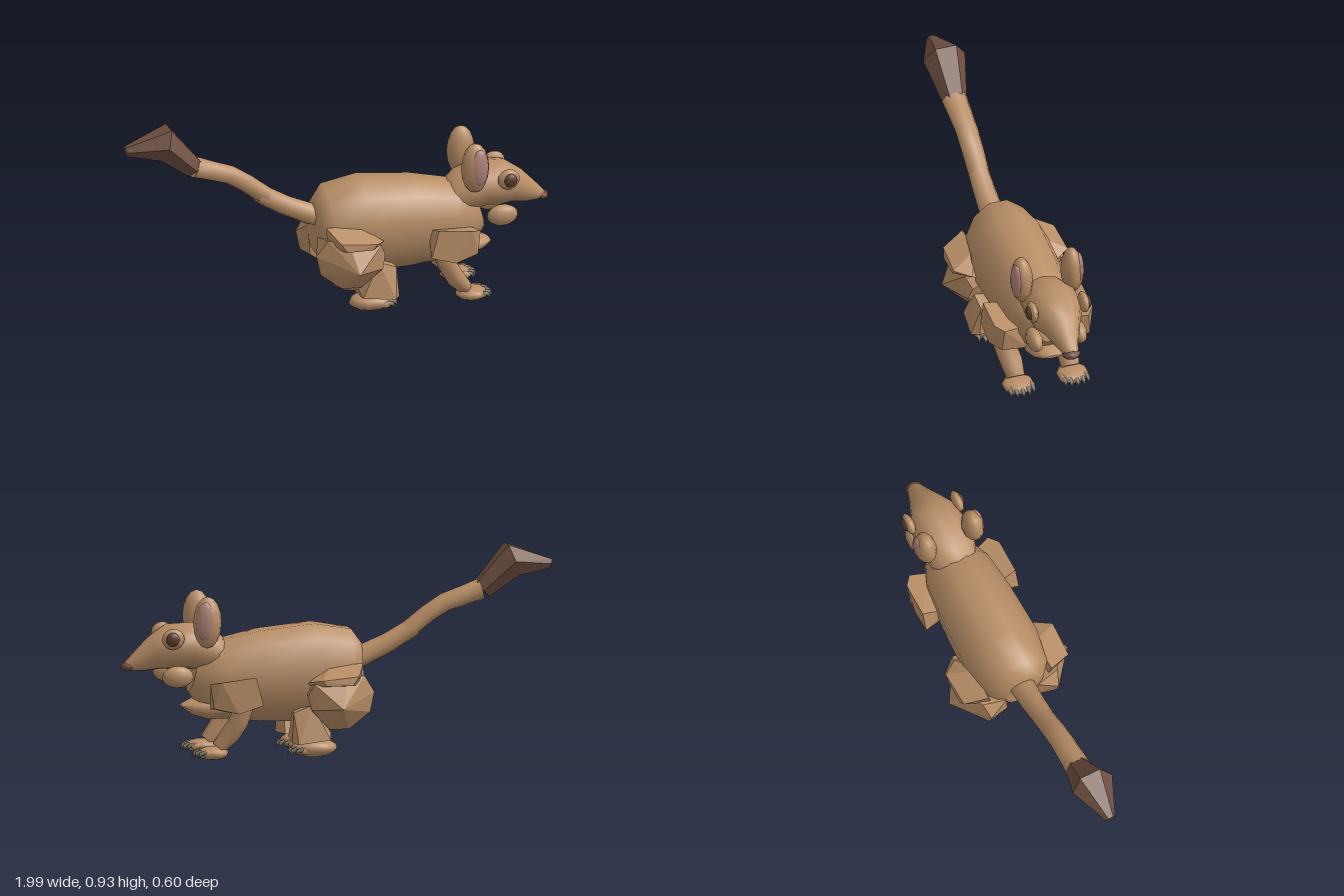
import * as THREE from 'three';
import { ConvexGeometry } from 'three/addons/geometries/ConvexGeometry.js';

// Skin of elliptical rings along a path in the xy plane; ring = [x, y, z, radius in plane, radius along z]
function loft(rings, sides, phase = 0) {
  const pos = [], index = [], n = rings.length;
  const ringPoints = rings.map(([x, y, z, r, rz], i) => {
    const a = rings[Math.max(i - 1, 0)], b = rings[Math.min(i + 1, n - 1)];
    const t = Math.atan2(b[1] - a[1], b[0] - a[0]);
    return Array.from({ length: sides }, (_, j) => {
      const q = ((j + phase) / sides) * Math.PI * 2, u = Math.cos(q) * r;
      return [x - Math.sin(t) * u, y + Math.cos(t) * u, z + Math.sin(q) * rz];
    });
  });
  ringPoints.forEach((ring) => ring.forEach((p) => pos.push(...p)));
  for (let i = 0; i < n - 1; i++) {
    for (let j = 0; j < sides; j++) {
      const k = (j + 1) % sides;
      const a = i * sides + j, b = i * sides + k;
      index.push(a, b, a + sides, b, b + sides, a + sides);
    }
  }
  // End caps with their own corners, so the rims stay sharp
  for (const i of [0, n - 1]) {
    const base = pos.length / 3;
    pos.push(...rings[i].slice(0, 3));
    ringPoints[i].forEach((p) => pos.push(...p));
    for (let j = 0; j < sides; j++) {
      const a = base + 1 + j, b = base + 1 + ((j + 1) % sides);
      if (i === 0) index.push(base, b, a);
      else index.push(base, a, b);
    }
  }
  const g = new THREE.BufferGeometry();
  g.setAttribute('position', new THREE.Float32BufferAttribute(pos, 3));
  g.setIndex(index);
  g.computeVertexNormals();
  return g;
}

const hull = (points, s) => new ConvexGeometry(points.map(([x, y, z]) => new THREE.Vector3(x, y, z * s)));

export function createModel() {
  const model = new THREE.Group();
  model.name = 'longTailedRodent';
  const material = (name, color, flatShading = false) => {
    const m = new THREE.MeshStandardMaterial({ color });
    m.name = name;
    m.flatShading = flatShading;
    return m;
  };
  const fur = material('fur', 0xb88e66);
  const tuftBrown = material('tuftBrown', 0x6e4f40, true);
  const pink = material('earPink', 0xb08378);
  const eyeBrown = material('eyeBrown', 0x5e3c2c);
  const noseBrown = material('noseBrown', 0x6a463c);
  const clawGrey = material('clawGrey', 0x817c70);

  const add = (name, geometry, mat = fur) => {
    const mesh = new THREE.Mesh(geometry, mat);
    mesh.name = name;
    model.add(mesh);
    return mesh;
  };
  const ball = (name, [x, y, z], [rx, ry, rz], mat = fur, w = 12, h = 8) => {
    const mesh = add(name, new THREE.SphereGeometry(1, w, h), mat);
    mesh.position.set(x, y, z);
    mesh.scale.set(rx, ry, rz);
    return mesh;
  };

  // Barrel-shaped body
  add('body', loft([
    [-0.11, 0.36, 0, 0.09, 0.08], [-0.09, 0.36, 0, 0.15, 0.12], [-0.04, 0.37, 0, 0.21, 0.165],
    [0.11, 0.38, 0, 0.23, 0.19], [0.35, 0.37, 0, 0.215, 0.18], [0.54, 0.36, 0, 0.185, 0.16],
    [0.63, 0.37, 0, 0.13, 0.12], [0.67, 0.38, 0, 0.08, 0.08],
  ], 12, 0.5));
  add('chest', loft([
    [0.5, 0.235, 0, 0.06, 0.1], [0.6, 0.23, 0, 0.055, 0.1], [0.67, 0.235, 0, 0.038, 0.08], [0.72, 0.24, 0, 0.006, 0.04],
  ], 8, 0.5));

  // Head tapering to the snout
  add('head', loft([
    [0.54, 0.46, 0, 0.075, 0.1], [0.6, 0.49, 0, 0.1, 0.12], [0.68, 0.515, 0, 0.105, 0.128],
    [0.77, 0.51, 0, 0.107, 0.122], [0.84, 0.485, 0, 0.08, 0.085], [0.91, 0.45, 0, 0.052, 0.055],
    [0.97, 0.427, 0, 0.022, 0.032],
  ], 12));
  ball('nose', [0.968, 0.425, 0], [0.032, 0.022, 0.043], noseBrown, 8, 6);

  // Tail in two overlapping lengths, then the faceted tuft
  add('tailBase', loft([
    [-0.06, 0.43, 0, 0.05, 0.062], [-0.12, 0.445, 0, 0.05, 0.058], [-0.24, 0.5, 0, 0.046, 0.053], [-0.36, 0.57, 0, 0.044, 0.048],
  ], 8));
  add('tailMiddle', loft([
    [-0.33, 0.555, 0, 0.042, 0.05], [-0.42, 0.625, 0, 0.042, 0.052], [-0.5, 0.675, 0, 0.044, 0.053],
    [-0.59, 0.705, 0, 0.046, 0.056], [-0.665, 0.73, 0, 0.05, 0.06],
  ], 8));
  add('tailTuft', loft([
    [-0.67, 0.73, 0, 0.05, 0.06], [-0.81, 0.865, 0, 0.086, 0.1], [-0.99, 0.84, 0, 0.024, 0.024],
  ], 6, 0.5), tuftBrown);

  for (const s of [1, -1]) {
    const side = s > 0 ? 'right' : 'left'; // facing +x, +z is the animal's right flank
    const name = (part) => side + part;

    // Ears with a pink patch facing outward
    ball(name('Ear'), [0.622, 0.632, 0.12 * s], [0.066, 0.118, 0.05], fur, 10, 8);
    const patch = ball(name('InnerEar'), [0.637, 0.64, 0.15 * s], [0.043, 0.088, 0.021], pink, 10, 8);
    patch.rotation.y = 0.15 * s;

    // Eyes in raised lids, and cheeks
    ball(name('EyeLid'), [0.78, 0.56, 0.122 * s], [0.052, 0.048, 0.024]);
    ball(name('Eye'), [0.784, 0.56, 0.136 * s], [0.033, 0.033, 0.02], eyeBrown);
    ball(name('Cheek'), [0.755, 0.385, 0.105 * s], [0.073, 0.05, 0.036], fur, 10, 8);

    // Angular shoulder and bent foreleg
    add(name('Shoulder'), hull([
      [0.42, 0.39, 0.235], [0.625, 0.36, 0.2], [0.58, 0.37, 0.235], [0.385, 0.26, 0.235], [0.5, 0.225, 0.235],
      [0.61, 0.25, 0.21], [0.4, 0.36, 0.12], [0.6, 0.35, 0.12], [0.42, 0.24, 0.09], [0.6, 0.23, 0.08],
    ], s));
    add(name('Foreleg'), loft([
      [0.46, 0.25, 0.15 * s, 0.045, 0.055], [0.485, 0.18, 0.15 * s, 0.045, 0.055],
      [0.52, 0.12, 0.135 * s, 0.045, 0.055], [0.575, 0.06, 0.13 * s, 0.032, 0.045],
    ], 7));

    // Folded thigh: upper ledge and pointed lower lump
    add(name('ThighLedge'), hull([
      [-0.05, 0.385, 0.265], [0.12, 0.37, 0.272], [0.17, 0.355, 0.2], [-0.02, 0.345, 0.272], [0.1, 0.345, 0.272],
      [-0.09, 0.43, 0.16], [0.06, 0.425, 0.15], [0.16, 0.32, 0.13], [-0.08, 0.33, 0.14],
    ], s));
    add(name('Thigh'), hull([
      [0.03, 0.24, 0.3], [-0.09, 0.38, 0.19], [-0.14, 0.3, 0.17], [-0.12, 0.21, 0.17], [-0.02, 0.135, 0.18],
      [0.07, 0.135, 0.18], [0.16, 0.23, 0.22], [0.175, 0.29, 0.2], [0.15, 0.35, 0.23], [0, 0.36, 0.235],
      [-0.11, 0.36, 0.08], [-0.1, 0.22, 0.07], [0, 0.15, 0.05], [0.12, 0.18, 0.06], [0.16, 0.32, 0.1],
    ], s));
    add(name('Shin'), hull([
      [0.15, 0.25, 0.19], [0.235, 0.215, 0.18], [0.15, 0.22, 0.09], [0.225, 0.22, 0.1], [0.245, 0.08, 0.19],
      [0.22, 0.075, 0.225], [0.07, 0.09, 0.21], [0.06, 0.12, 0.16], [0.07, 0.075, 0.06], [0.23, 0.09, 0.035],
    ], s));

    // Feet, each with a fan of five claws
    for (const [foot, cx, len, h] of [['FrontFoot', 0.6, 0.074, 0.031], ['HindFoot', 0.13, 0.107, 0.042]]) {
      ball(name(foot), [cx, h + 0.006, 0.13 * s], [len, h, 0.074], fur, 10, 8);
      for (let i = -2; i <= 2; i++) {
        const a = i * 0.38;
        const x = cx + len * 0.88 * Math.cos(a), z = 0.13 * s + 0.068 * Math.sin(a) * 1.15;
        ball(name(foot + 'Toe' + (i + 3)), [x - 0.018, 0.039, z * 0.98], [0.03, 0.017, 0.015], fur, 7, 5);
        add(name(foot + 'Claw' + (i + 3)), loft([
          [x - 0.005, 0.046, z, 0.012, 0.01], [x + 0.018, 0.041, z, 0.009, 0.008], [x + 0.031, 0.02, z, 0.001, 0.001],
        ], 5), clawGrey);
      }
    }
  }

  // Stand on y = 0, centred on x
  const box = new THREE.Box3().setFromObject(model);
  const shift = new THREE.Vector3(-(box.min.x + box.max.x) / 2, -box.min.y, 0);
  model.children.forEach((part) => part.position.add(shift));
  return model;
}
